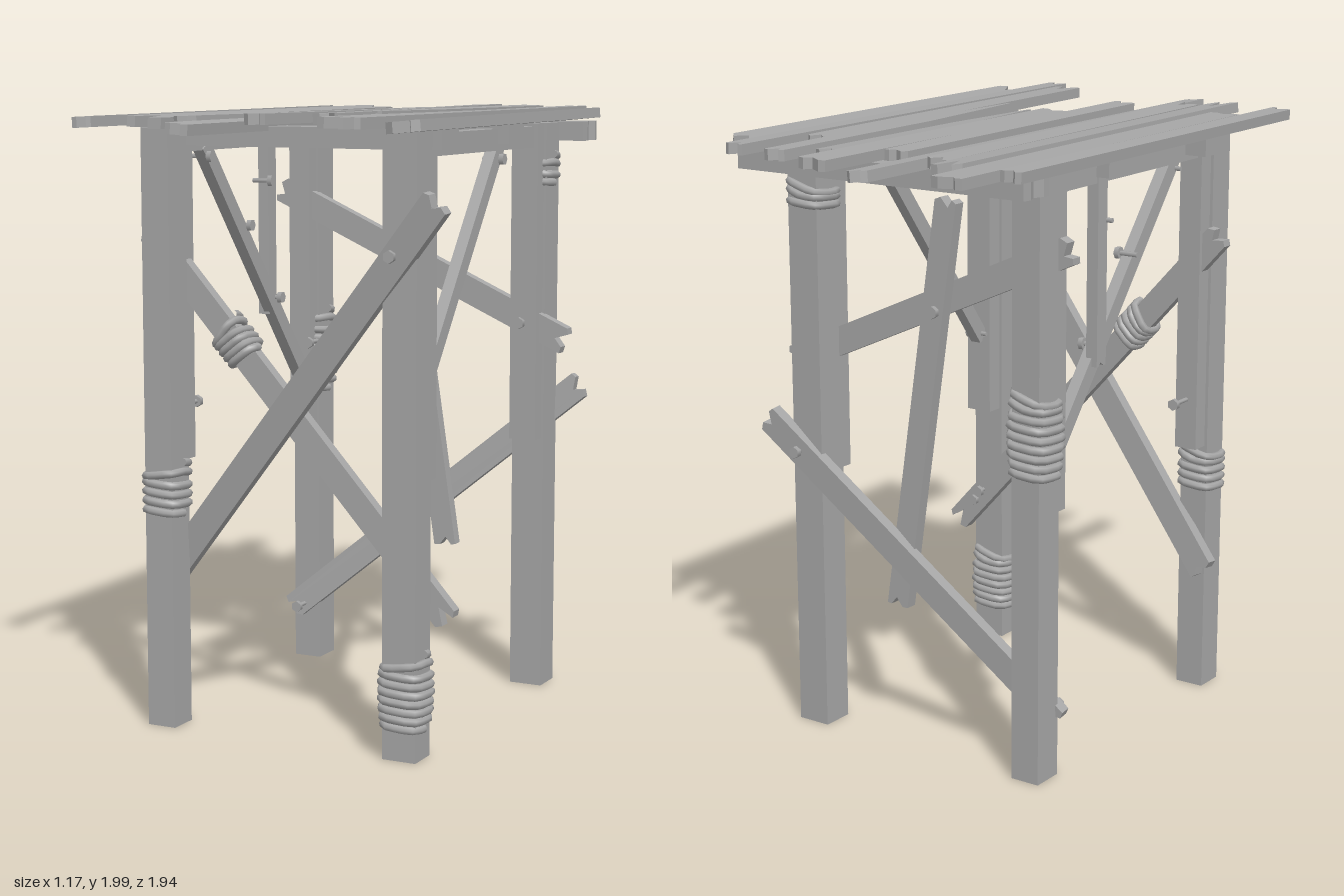
import * as THREE from 'three';

const wood = new THREE.MeshStandardMaterial({ color: 0xa6a6a6 });
wood.name = 'grey wood';

let seed = 11;
const rnd = () => (seed = (seed * 16807) % 2147483647) / 2147483647;
const V = (a) => new THREE.Vector3(...a);

export function createModel() {
  const model = new THREE.Group();

  function add(geo, name, pos = [0, 0, 0]) {
    const mesh = new THREE.Mesh(geo, wood);
    mesh.name = name;
    mesh.position.set(...pos);
    model.add(mesh);
    return mesh;
  }

  // box given by its lower and upper bounds
  function block(name, x0, x1, y0, y1, z0, z1) {
    add(new THREE.BoxGeometry(x1 - x0, y1 - y0, z1 - z0), name,
      [(x0 + x1) / 2, (y0 + y1) / 2, (z0 + z1) / 2]);
  }

  // board from p to q with splintered ends; its broad face looks along n.
  // taper: length of a broken point at the q end
  function board(name, p, q, width, thick, n, jag = 0.03, taper = 0) {
    const a = V(p), b = V(q), len = a.distanceTo(b), w = width / 2, l = len / 2;
    const s = new THREE.Shape();
    s.moveTo(-l + jag * rnd() * 0.5, -w);
    if (taper) {
      s.lineTo(l - taper, -w);
      s.lineTo(l, -w * 0.1);
      s.lineTo(l - 0.01, w * 0.15);
      s.lineTo(l - taper * 0.9, w);
    } else {
      s.lineTo(l - jag * rnd() * 0.5, -w);
      s.lineTo(l - jag * 0.2 * rnd(), -w * 0.5);
      s.lineTo(l - jag * (0.7 + rnd() * 0.6), w * (rnd() - 0.4) * 0.5);
      s.lineTo(l, w * 0.6);
      s.lineTo(l - jag * rnd() * 0.5, w);
    }
    s.lineTo(-l + jag * rnd() * 0.5, w);
    s.lineTo(-l, w * 0.5);
    s.lineTo(-l + jag * (0.5 + rnd() * 0.5), w * (rnd() - 0.6) * 0.5);
    s.lineTo(-l, -w * 0.6);
    s.closePath();
    const geo = new THREE.ExtrudeGeometry(s, { depth: thick, bevelEnabled: false });
    geo.translate(0, 0, -thick / 2);
    const X = b.clone().sub(a).normalize();
    const Y = V(n).cross(X).normalize();
    const Z = X.clone().cross(Y);
    geo.applyMatrix4(new THREE.Matrix4().makeBasis(X, Y, Z));
    const m = a.add(b).multiplyScalar(0.5);
    return add(geo, name, [m.x, m.y, m.z]);
  }

  // rope wound round a squarish post, with a slack last turn
  function rope(name, pos, height, turns, half, bulge = 0, axis = [0, 1, 0]) {
    const pts = [], per = 16, total = turns * per;
    for (let i = 0; i <= total; i++) {
      const t = i / total, ang = (i / per) * Math.PI * 2;
      const c = Math.cos(ang), s = Math.sin(ang);
      const r = (half + bulge * Math.sin(t * Math.PI)) / Math.pow(c ** 4 + s ** 4, 0.25);
      const slack = t > 1 - 1.2 / turns ? 0.015 * c : 0;
      pts.push(new THREE.Vector3(c * r, (t - 0.5) * height + slack, s * r));
    }
    const path = new THREE.CatmullRomCurve3(pts);
    const mesh = add(new THREE.TubeGeometry(path, total, 0.0135, 7), name, pos);
    mesh.quaternion.setFromUnitVectors(new THREE.Vector3(0, 1, 0), V(axis).normalize());
  }

  // nail whose head sits at pos and points along dir
  function nail(pos, dir, len = 0.07) {
    const shaft = new THREE.CylinderGeometry(0.008, 0.008, len, 6).translate(0, -len / 2, 0);
    const head = new THREE.CylinderGeometry(0.02, 0.02, 0.016, 6);
    for (const [geo, name] of [[shaft, 'nailShaft'], [head, 'nailHead']]) {
      add(geo, name, pos).quaternion.setFromUnitVectors(new THREE.Vector3(0, 1, 0), V(dir));
    }
  }

  // legs, each with an inner splice post on the upper half
  for (const [x0, x1] of [[-0.5, -0.4], [0.35, 0.465]]) {
    block('frontLeg', x0, x1, 0, 1.94, 0.475, 0.58);
    block('backLeg', x0, x1, 0, 1.94, -0.54, -0.43);
    block('frontSplice', x0 + 0.01, x1 - 0.01, 0.87, 1.94, 0.415, 0.475);
    block('backSplice', x0 + 0.01, x1 - 0.01, 0.87, 1.94, -0.43, -0.38);
    block('sideRail', x0 + 0.025, x1 - 0.025, 1.86, 1.93, -0.4, 0.43);
  }

  // beams carrying the top
  block('frontBeam', -0.55, 0.49, 1.88, 1.945, 0.335, 0.455);
  block('middleBeam', -0.52, 0.48, 1.88, 1.945, -0.195, -0.075);
  board('backBeam', [-0.53, 1.91, -0.6], [0.55, 1.91, -0.62], 0.125, 0.065, [0, 1, 0], 0.02);

  // top planks: x from, x to, z back, z front, height, end notch, broken point
  const planks = [
    [-0.58, -0.515, -0.77, 0.85, 1.965, 0.04, 0], [-0.5, -0.39, -0.93, 0.64, 1.96, 0.02, 0],
    [-0.375, -0.28, -0.78, 0.86, 1.966, 0.1, 0], [-0.27, -0.19, -0.68, 0.77, 1.96, 0.06, 0],
    [-0.18, -0.11, -0.97, 0.97, 1.955, 0.04, 0], [-0.1, -0.02, -0.66, 0.63, 1.967, 0.03, 0],
    [-0.015, 0.085, -0.95, 0.35, 1.972, 0.03, 0], [0.095, 0.185, -0.75, 0.35, 1.965, 0.03, 0.42],
    [0.19, 0.265, -0.88, 0.35, 1.972, 0.04, 0.5], [0.275, 0.37, -0.56, 0.85, 1.965, 0.05, 0],
    [0.375, 0.44, -0.86, 0.92, 1.972, 0.04, 0], [0.45, 0.56, -0.72, 0.79, 1.966, 0.06, 0],
  ];
  for (const [x0, x1, z0, z1, y, jag, taper] of planks) {
    const x = (x0 + x1) / 2, lean = (rnd() - 0.5) * 0.012, roll = (rnd() - 0.5) * 0.2;
    board('topPlank', [x + lean, y, z0], [x - lean, y + lean, z1],
      x1 - x0, 0.034, [roll, 1, 0], jag, taper);
  }

  // crossed braces, front and back
  board('frontBrace', [-0.52, 0.44, 0.44], [0.55, 1.74, 0.61], 0.095, 0.04, [0, 0, 1]);
  board('frontBrace', [-0.55, 1.61, 0.45], [0.52, 0.43, 0.45], 0.085, 0.04, [0, 0, 1], 0.05);
  board('backBrace', [-0.54, 1.7, -0.42], [0.55, 1.21, -0.42], 0.09, 0.04, [0, 0, 1], 0.04);
  board('backBrace', [-0.5, 0.18, -0.42], [0.55, 1.05, -0.565], 0.09, 0.04, [0, 0, 1], 0.04);
  board('loosePlank', [-0.115, 1.82, -0.465], [0.09, 0.46, -0.465], 0.08, 0.04, [0, 0, 1], 0.03);

  // side braces
  board('leftBrace', [0.4, 1.14, 0.41], [0.4, 1.88, -0.16], 0.052, 0.04, [1, 0, 0], 0.01);
  board('rightBrace', [-0.44, 1.88, 0.31], [-0.44, 1.01, -0.4], 0.052, 0.04, [1, 0, 0], 0.01);
  board('rightHanger', [-0.46, 1.9, -0.165], [-0.46, 1.28, -0.165], 0.052, 0.04, [1, 0, 0], 0.01);

  // rope bindings
  rope('frontLeftRope', [0.407, 0.21, 0.527], 0.22, 8, 0.061, 0.008);
  rope('frontRightRope', [-0.45, 0.78, 0.527], 0.15, 5, 0.059);
  rope('backRightRope', [-0.45, 1.12, -0.485], 0.27, 9, 0.058, 0.01);
  rope('backLeftRope', [0.407, 1.78, -0.485], 0.08, 3, 0.062);
  rope('braceRope', [-0.23, 1.26, 0.45], 0.12, 5, 0.05, 0, [-1.07, 1.18, 0]);

  // nails
  const nails = [
    [[0.4, 1.57, 0.635], [0, 0, 1]], [[-0.07, 1.46, -0.495], [0, 0, -1]],
    [[-0.07, 1.46, -0.39], [0, 0, 1]], [[-0.45, 1.04, 0.335], [0, 0, -1], 0.1],
    [[0.4, 0.57, 0.4], [0, 0, -1]], [[0.43, 0.53, 0.41], [0, 0, -1]],
    [[-0.45, 0.2, -0.35], [0, 0, 1]], [[0.42, 0.95, -0.59], [0, 0, -1]],
    [[0.4, 1.27, -0.36], [0, 0, 1]], [[-0.4, 1.16, -0.35], [0, 0, 1]],
    [[0.43, 1.16, 0.395], [1, 0, 0]], [[0.43, 1.83, -0.14], [1, 0, 0]],
    [[-0.41, 1.84, 0.3], [1, 0, 0]], [[-0.41, 1.6, 0.04], [1, 0, 0]],
    [[-0.4, 1.34, -0.15], [1, 0, 0]], [[-0.43, 1.74, -0.14], [1, 0, 0]],
    [[-0.41, 1.03, -0.375], [1, 0, 0]],
  ];
  for (const n of nails) nail(...n);

  return model;
}
